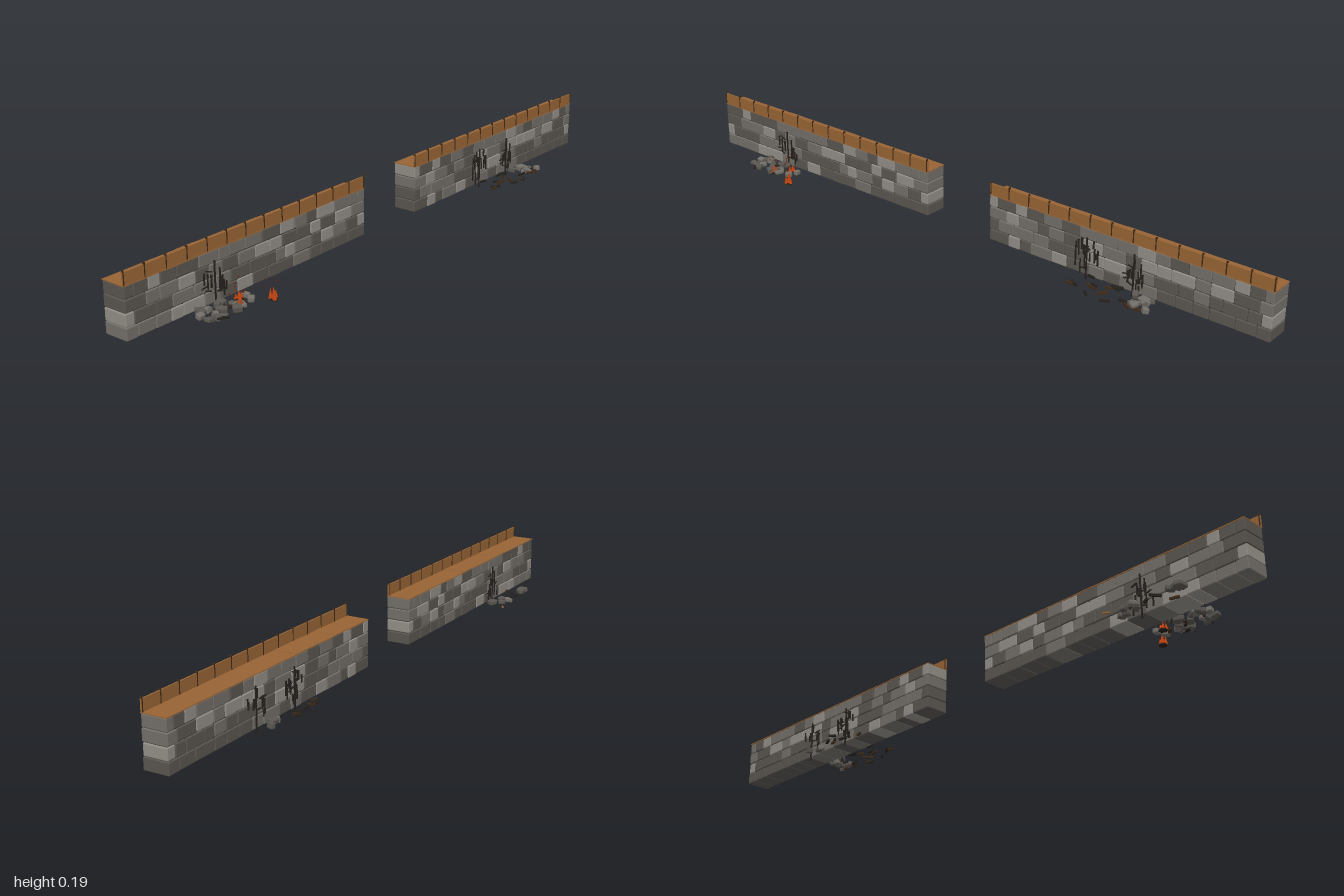
import * as THREE from 'three';
import { mergeGeometries } from 'three/addons/utils/BufferGeometryUtils.js';
import { RoundedBoxGeometry } from 'three/addons/geometries/RoundedBoxGeometry.js';

// small seeded generator
let seed = 11;
const rnd = (a = 0, b = 1) => {
  seed = (seed * 16807) % 2147483647;
  return a + (b - a) * (seed / 2147483647);
};

const mat = (name, color) => {
  const m = new THREE.MeshStandardMaterial({ color });
  m.name = name;
  return m;
};

export function createModel() {
  const M = {
    light: mat('light stone', 0x918c85),
    mid: mat('mid stone', 0x726e68),
    dark: mat('dark stone', 0x595550),
    mortar: mat('mortar', 0x3a3733),
    wood: mat('wood', 0x976334),
    iron: mat('weathered post', 0x3f2a18),
    char: mat('charred', 0x25211d),
    flame: mat('flame', 0xc4440f),
    ember: mat('ember', 0x6e2410),
  };
  const model = new THREE.Group();
  const ZF = 0.018, ZB = -0.057, ZC = (ZF + ZB) / 2, DEPTH = ZF - ZB;

  // collects geometries by material, then merges each set into one mesh
  const makeBin = (name) => {
    const sets = {};
    return {
      add(key, geo, p, r = [0, 0, 0]) {
        const g = geo.index ? geo.toNonIndexed() : geo;
        g.rotateX(r[0]).rotateY(r[1]).rotateZ(r[2]);
        g.translate(p[0], p[1], p[2]);
        g.computeVertexNormals();
        (sets[key] ??= []).push(g);
      },
      finish() {
        const group = new THREE.Group();
        group.name = name;
        for (const key in sets) {
          const mesh = new THREE.Mesh(mergeGeometries(sets[key]), M[key]);
          mesh.name = name + ' ' + M[key].name;
          group.add(mesh);
        }
        return group;
      },
    };
  };
  const box = (w, h, d) => new THREE.BoxGeometry(w, h, d);
  const pick = (keys) => keys[Math.floor(rnd(0, keys.length - 0.001))];

  function addWall(x0, x1, side, seams) {
    const len = x1 - x0, xc = (x0 + x1) / 2;

    // stone courses over a recessed core
    const stones = makeBin(side + ' stones');
    stones.add('mortar', box(len - 0.01, 0.122, DEPTH - 0.01), [xc, 0.081, ZC]);
    const courseH = 0.0352;
    const endKeys = ['dark', 'light', 'mid', 'mid'];
    for (let row = 0; row < 4; row++) {
      const widths = [];
      const n = 16 + (row % 2);
      for (let i = 0; i < n; i++) widths.push(rnd(0.65, 1.4));
      if (row % 2) widths[0] = widths[n - 1] = 0.55;
      const total = widths.reduce((a, b) => a + b, 0);
      let x = x0;
      widths.forEach((f, i) => {
        const w = (f / total) * len;
        const g = new RoundedBoxGeometry(w - 0.0015, courseH - rnd(0.001, 0.0025), DEPTH - rnd(0, 0.004), 1, 0.0025);
        const key = i === n - 1 ? endKeys[row] : pick(['light', 'mid', 'mid', 'dark', 'dark']);
        stones.add(key, g, [x + w / 2, 0.011 + courseH * (row + 0.5), ZC]);
        x += w;
      });
    }
    model.add(stones.finish());

    // walkway planks, each laid at a slightly different height
    const deck = makeBin(side + ' walkway');
    const cuts = [x0, ...seams, x1];
    for (let i = 0; i + 1 < cuts.length; i++)
      deck.add('wood', box(cuts[i + 1] - cuts[i] - 0.0008, 0.0025, DEPTH),
        [(cuts[i] + cuts[i + 1]) / 2, 0.1515 + (i % 2) * 0.0008, ZC]);
    model.add(deck.finish());

    // front parapet with thin posts
    const parapet = makeBin(side + ' parapet');
    const boards = 13, bw = len / boards;
    for (let i = 0; i < boards; i++)
      parapet.add('wood', box(bw - 0.0008, 0.034, 0.0045), [x0 + bw * (i + 0.5), 0.169, 0.0145]);
    for (let i = 0; i <= boards; i++) {
      const x = THREE.MathUtils.clamp(x0 + bw * i, x0 + 0.003, x1 - 0.003);
      parapet.add('iron', box(0.0035, 0.039, 0.0055), [x, 0.1715, 0.0145]);
    }
    model.add(parapet.finish());
  }
  addWall(-1, -0.118, 'right', [-0.77, -0.705, -0.53, -0.475]);
  addWall(0.115, 1, 'left', [0.23, 0.29, 0.35, 0.475, 0.525]);

  // charred, splintered strips standing against the wall faces
  const scorch = makeBin('scorched splinters');
  const addScorch = (xc, front, n) => {
    const z = front ? ZF + 0.0015 : ZB - 0.0015;
    for (let i = 0; i < n; i++) {
      const h = rnd(0.015, 0.045);
      const y = rnd(h / 2 + 0.01, 0.122 - h / 2);
      scorch.add('char', box(rnd(0.0025, 0.005), h, 0.003), [xc + rnd(-0.04, 0.04), y, z]);
      if (i % 3 === 0)
        scorch.add('char', box(rnd(0.012, 0.025), 0.003, 0.003), [xc + rnd(-0.035, 0.035), rnd(0.03, 0.11), z], [0, 0, rnd(-0.4, 0.4)]);
    }
    scorch.add('char', box(0.004, 0.125, 0.003), [xc, 0.0625, z]);
  };
  for (const [x, front, n] of [
    [-0.71, true, 11], [0.45, true, 15], [0.6, true, 12],
    [-0.68, false, 13], [0.49, false, 13], [0.66, false, 9],
  ]) addScorch(x, front, n);
  model.add(scorch.finish());

  // fallen stones: [x centre, z centre, x spread, z spread, count]
  const rubble = makeBin('rubble');
  for (const [xc, zc, sx, sz, n] of [
    [-0.71, 0.06, 0.09, 0.034, 18], [-0.75, 0.09, 0.05, 0.015, 5], [0.65, 0.06, 0.04, 0.035, 9],
    [-0.82, -0.1, 0.02, 0.012, 4], [-0.66, -0.095, 0.04, 0.02, 5], [0.61, -0.075, 0.025, 0.012, 3],
  ]) {
    for (let i = 0; i < n; i++) {
      const w = rnd(0.016, 0.03), h = rnd(0.011, 0.017);
      const g = new RoundedBoxGeometry(w, h, rnd(0.014, 0.024), 1, 0.003);
      rubble.add(pick(['mid', 'dark', 'dark']), g,
        [xc + rnd(-sx, sx), 0.01 + h / 2, zc + rnd(-sz, sz)], [rnd(-0.25, 0.25), rnd(0, 3), 0]);
    }
  }
  model.add(rubble.finish());

  // burnt beams lying on the ground
  const beams = makeBin('burnt beams');
  for (const [xc, zc, sx, sz, n] of [
    [0.5, 0.065, 0.08, 0.045, 13], [0.64, 0.08, 0.05, 0.03, 5], [0.47, -0.09, 0.06, 0.025, 8],
    [-0.7, 0.07, 0.08, 0.04, 6], [-0.7, -0.085, 0.09, 0.03, 4],
  ]) {
    for (let i = 0; i < n; i++)
      beams.add(i % 3 === 0 ? 'iron' : 'char', box(rnd(0.018, 0.034), 0.006, 0.006),
        [xc + rnd(-sx, sx), rnd(0.012, 0.018), zc + rnd(-sz, sz)], [0, rnd(-1, 1), 0]);
  }
  beams.add('wood', box(0.018, 0.004, 0.005), [-0.62, 0.013, -0.125], [0, 0.6, 0]);
  model.add(beams.finish());

  // small fires with floating embers: [x, z, flame height]
  const fire = makeBin('small fires');
  for (const [x, z, h] of [[-0.605, 0.117, 0.034], [-0.7, 0.09, 0.028], [-0.66, 0.05, 0.024]]) {
    fire.add('char', new THREE.CylinderGeometry(0.01, 0.013, 0.005, 7), [x, 0.0125, z]);
    for (let i = 0; i < 4; i++) {
      const a = i * 2.094, r = i ? 0.008 : 0;
      const hh = h * (i ? rnd(0.6, 0.95) : 1);
      fire.add('flame', new THREE.ConeGeometry(0.006, hh, 6),
        [x + Math.cos(a) * r, 0.013 + hh / 2, z + Math.sin(a) * r]);
    }
    for (let i = 0; i < 4; i++)
      fire.add('ember', box(0.003, 0.003, 0.003),
        [x + rnd(-0.02, 0.02), rnd(0.045, 0.072), z + rnd(-0.015, 0.01)]);
  }
  model.add(fire.finish());

  return model;
}
